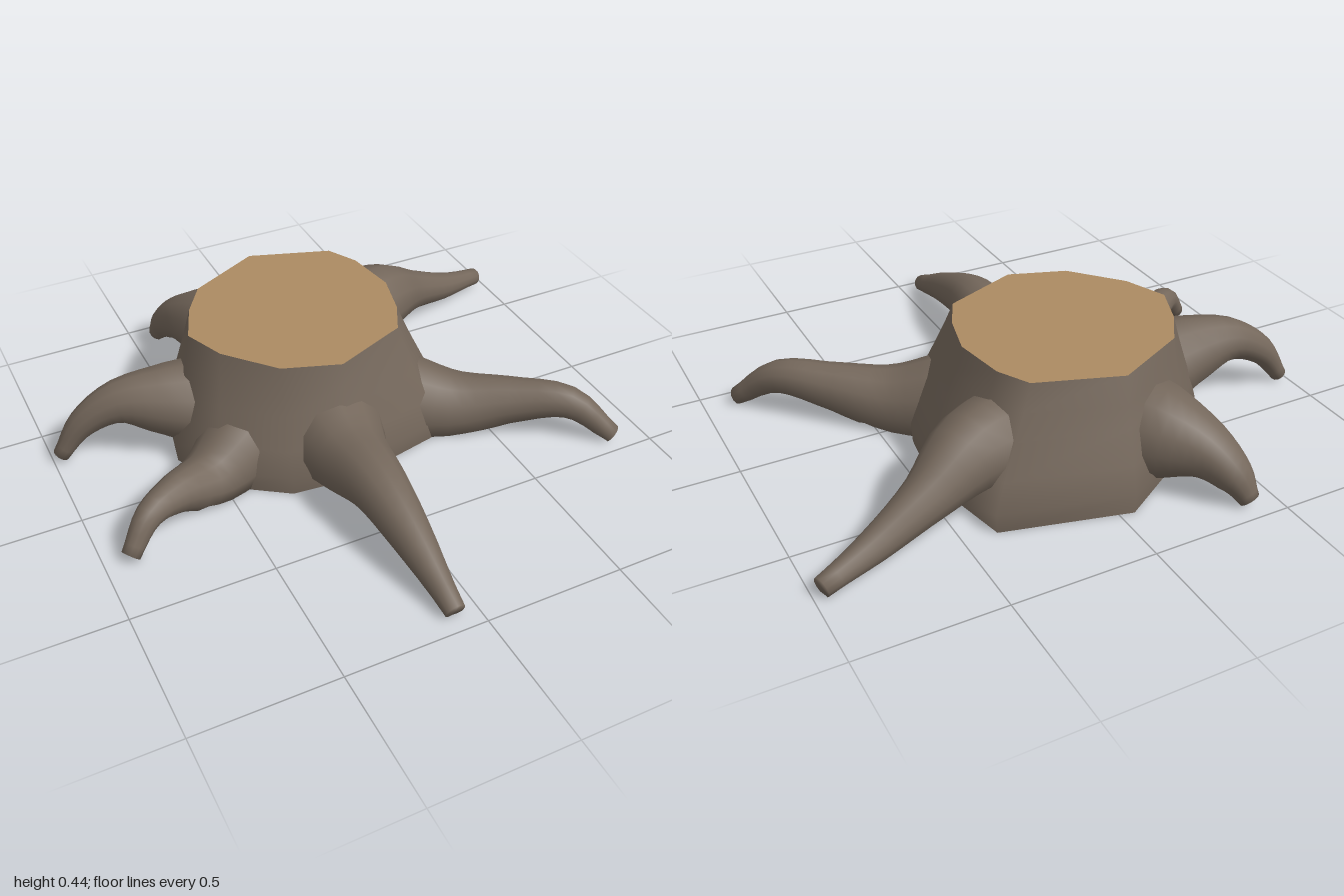
import * as THREE from 'three';

const bark = new THREE.MeshStandardMaterial({ color: 0x74675b });
bark.name = 'bark brown';
const wood = new THREE.MeshStandardMaterial({ color: 0xac8b62 });
wood.name = 'cut wood tan';

// Skin between equal closed rings of Vector3
function loft(rings) {
  const n = rings[0].length, pos = [], idx = [];
  for (const ring of rings) for (const p of ring) pos.push(p.x, p.y, p.z);
  for (let j = 0; j < rings.length - 1; j++) {
    for (let i = 0; i < n; i++) {
      const a = j * n + i, b = j * n + (i + 1) % n;
      idx.push(a, a + n, b, b, a + n, b + n);
    }
  }
  const g = new THREE.BufferGeometry();
  g.setAttribute('position', new THREE.Float32BufferAttribute(pos, 3));
  g.setIndex(idx);
  g.computeVertexNormals();
  return g;
}

// Tapered root along [x, y, z, radius] points, flattened where it meets the ground
function rootGeometry(points) {
  const path = new THREE.CatmullRomCurve3(points.map(p => new THREE.Vector3(p[0], p[1], p[2])));
  const size = new THREE.SplineCurve(points.map((p, i) => new THREE.Vector2(i, p[3])));
  const steps = 16, sides = 12, rings = [];
  const up = new THREE.Vector3(0, 1, 0);
  for (let j = 0; j <= steps + 1; j++) {
    const t = Math.min(j / steps, 1);
    const c = path.getPoint(t), dir = path.getTangent(t);
    const r = j > steps ? 0 : size.getPoint(t).y;
    const side = new THREE.Vector3().crossVectors(dir, up).normalize();
    const top = new THREE.Vector3().crossVectors(side, dir);
    const ring = [];
    for (let i = 0; i < sides; i++) {
      const a = i / sides * Math.PI * 2;
      const p = c.clone().addScaledVector(side, Math.cos(a) * r).addScaledVector(top, Math.sin(a) * r);
      p.y = Math.max(p.y, 0);
      ring.push(p);
    }
    rings.push(ring);
  }
  return loft(rings);
}

const H = 0.435;
// Outlines [x, z] of the cut top and of the flared foot
const topEdge = [[0.3, -0.27], [0.26, -0.11], [0.2, 0.01], [-0.07, 0.12], [-0.27, 0.05], [-0.42, -0.12],
  [-0.48, -0.27], [-0.42, -0.42], [-0.34, -0.54], [-0.08, -0.67], [0.21, -0.57], [0.27, -0.46]];
const footEdge = [[0.45, -0.3], [0.42, -0.1], [0.3, 0.14], [-0.08, 0.22], [-0.3, 0.2], [-0.52, 0.05],
  [-0.6, -0.15], [-0.55, -0.4], [-0.37, -0.6], [-0.05, -0.8], [0.39, -0.69], [0.43, -0.5]];

const roots = {
  backLeftRoot: [[-0.16, 0.15, -0.5, 0.2], [-0.24, 0.17, -0.66, 0.16], [-0.32, 0.15, -0.79, 0.1],
    [-0.37, 0.09, -0.88, 0.065], [-0.4, 0.02, -0.93, 0.035]],
  backRightRoot: [[0.2, 0.18, -0.45, 0.17], [0.39, 0.2, -0.51, 0.14], [0.58, 0.14, -0.59, 0.085],
    [0.78, 0.07, -0.65, 0.055], [0.97, 0.03, -0.71, 0.035]],
  leftRoot: [[-0.42, 0.14, -0.26, 0.17], [-0.59, 0.19, -0.28, 0.13], [-0.75, 0.21, -0.31, 0.08],
    [-0.88, 0.14, -0.335, 0.052], [-0.97, 0.02, -0.345, 0.03]],
  frontLeftRoot: [[-0.36, 0.1, -0.05, 0.16], [-0.55, 0.06, 0.05, 0.11], [-0.7, 0.11, 0.13, 0.07],
    [-0.82, 0.115, 0.2, 0.047], [-0.91, 0.02, 0.255, 0.033]],
  frontRoot: [[-0.09, 0.12, 0.04, 0.2], [-0.1, 0.13, 0.25, 0.14], [-0.1, 0.16, 0.45, 0.1],
    [-0.095, 0.12, 0.66, 0.072], [-0.085, 0.025, 0.94, 0.035]],
  frontRightRoot: [[0.2, 0.1, -0.06, 0.17], [0.4, 0.07, 0.07, 0.13], [0.58, 0.11, 0.19, 0.088],
    [0.75, 0.13, 0.32, 0.06], [0.875, 0.02, 0.435, 0.035]],
};

export function createModel() {
  const group = new THREE.Group();
  group.name = 'treeStump';
  const add = (name, geometry, material) => {
    const m = new THREE.Mesh(geometry, material);
    m.name = name;
    group.add(m);
  };

  // Ring at a height, blended from cut top (0) to foot (1)
  const ringAt = (y, flare) => topEdge.map(([x, z], i) => new THREE.Vector3(
    x + (footEdge[i][0] - x) * flare, y, z + (footEdge[i][1] - z) * flare));
  const centreAt = y => topEdge.map(() => new THREE.Vector3(-0.09, y, -0.27));

  // Trunk, its cut face and its underside
  const profile = [[0, 0.97], [0.07, 1], [0.16, 0.78], [0.27, 0.45], [0.35, 0.22], [H, 0]];
  add('trunk', loft(profile.map(([y, f]) => ringAt(y, f))), bark);
  add('cutFace', loft([ringAt(H, 0), centreAt(H)]), wood);
  add('underside', loft([centreAt(0), ringAt(0, 0.97)]), bark);

  // Spreading roots
  for (const [name, points] of Object.entries(roots)) add(name, rootGeometry(points), bark);
  return group;
}
